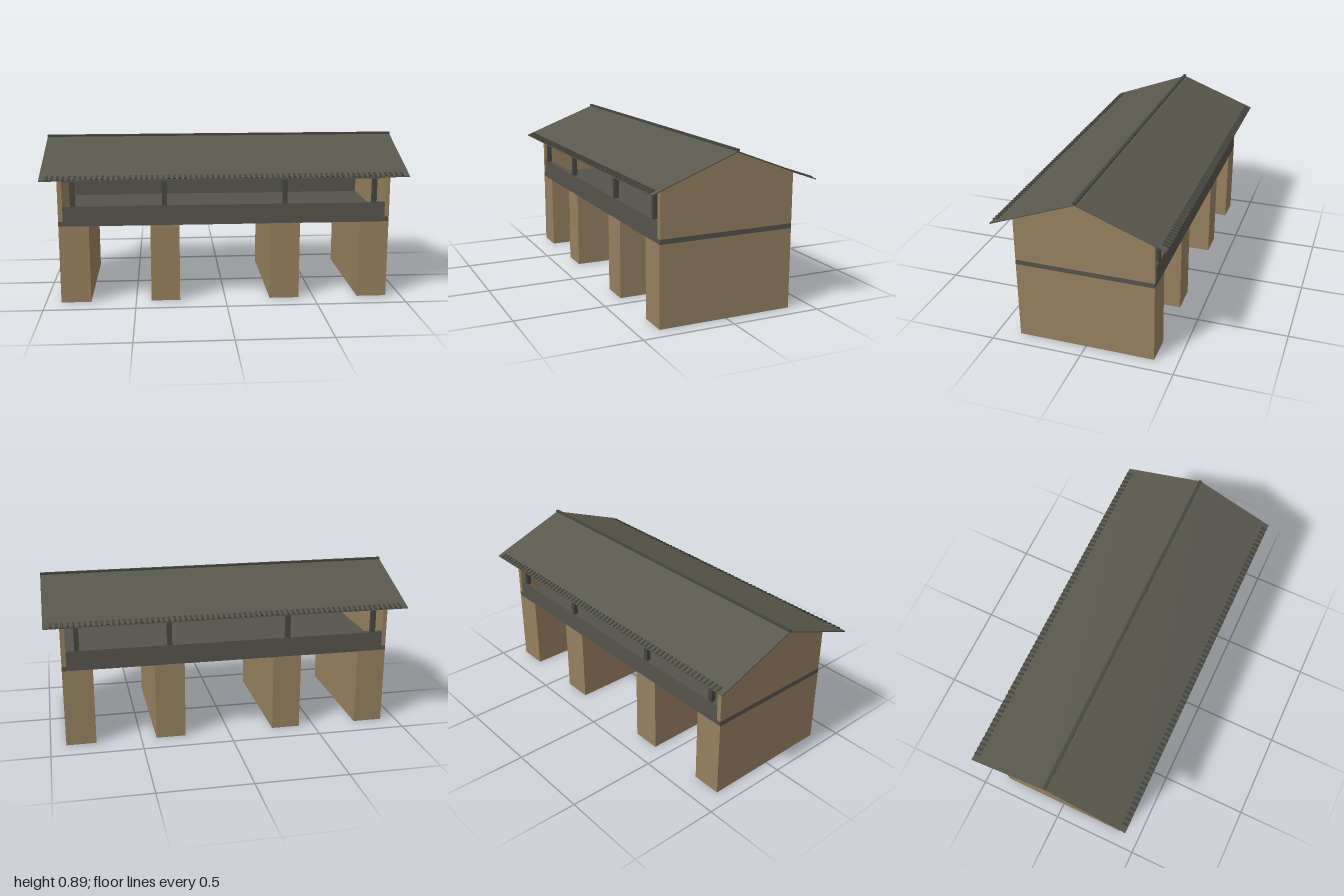
import * as THREE from 'three';

export function createModel() {
  const model = new THREE.Group();
  const mat = (name, color) => new THREE.MeshStandardMaterial({ name, color });
  const stone = mat('sandstone', 0x96805f);
  const timber = mat('grey timber', 0x55534c);
  const roofing = mat('roof slate', 0x59584e);
  const dark = mat('dark timber', 0x45453f);

  const add = (name, geometry, material, parent = model) => {
    const mesh = new THREE.Mesh(geometry, material);
    mesh.name = name;
    parent.add(mesh);
    return mesh;
  };
  // Box given by its limits on each axis
  const box = (name, material, x0, x1, y0, y1, z0, z1, parent) => {
    const mesh = add(name, new THREE.BoxGeometry(x1 - x0, y1 - y0, z1 - z0), material, parent);
    mesh.position.set((x0 + x1) / 2, (y0 + y1) / 2, (z0 + z1) / 2);
    return mesh;
  };

  const D = 0.375;           // half depth of the body
  const EAVE_Z = 0.457, EAVE_Y = 0.70, RIDGE_Y = 0.873;
  const slope = (RIDGE_Y - EAVE_Y) / EAVE_Z;
  const underside = z => RIDGE_Y - slope * z;

  // Supporting piers
  for (const [a, b] of [[-0.915, -0.75], [-0.415, -0.255], [0.25, 0.415], [0.75, 0.915]])
    box('pier', stone, a, b, 0, 0.435, -D, D);

  // Deck, seen as a band round the body
  box('deck', timber, -0.915, 0.915, 0.434, 0.461, -D, D);

  // Gable end walls
  const gable = new THREE.Shape([
    new THREE.Vector2(-D, 0.461), new THREE.Vector2(D, 0.461),
    new THREE.Vector2(D, underside(D)), new THREE.Vector2(0, RIDGE_Y),
    new THREE.Vector2(-D, underside(D)),
  ]);
  for (const x of [-0.915, 0.89]) {
    const wall = add('gableWall',
      new THREE.ExtrudeGeometry(gable, { depth: 0.025, bevelEnabled: false }), stone);
    wall.rotation.y = Math.PI / 2;
    wall.position.x = x;
  }

  // Parapets, posts and eave beams on both long sides
  for (const side of [1, -1]) {
    const span = (a, b) => (side > 0 ? [a, b] : [-b, -a]);
    box('parapet', timber, -0.89, 0.89, 0.461, 0.545, ...span(D - 0.025, D));
    box('eaveBeam', timber, -0.89, 0.89, 0.68, 0.705, ...span(D - 0.025, D));
    for (const x of [-0.835, -0.335, 0.33, 0.83])
      box('post', dark, x - 0.013, x + 0.013, 0.545, 0.68, ...span(D - 0.025, D));
  }

  // Thin folded roof
  const t = 0.006;
  const section = new THREE.Shape([
    new THREE.Vector2(-EAVE_Z, EAVE_Y), new THREE.Vector2(0, RIDGE_Y),
    new THREE.Vector2(EAVE_Z, EAVE_Y), new THREE.Vector2(EAVE_Z, EAVE_Y + t),
    new THREE.Vector2(0, RIDGE_Y + t), new THREE.Vector2(-EAVE_Z, EAVE_Y + t),
  ]);
  const roof = add('roof',
    new THREE.ExtrudeGeometry(section, { depth: 2, bevelEnabled: false }), roofing);
  roof.rotation.y = Math.PI / 2;
  roof.position.x = -1;

  // Ridge cap
  box('ridgeNeck', dark, -1, 1, 0.872, 0.882, -0.005, 0.005);
  box('ridgeCap', dark, -1, 1, 0.881, 0.889, -0.009, 0.009);

  // Small cleats along both eaves
  const cleat = new THREE.BoxGeometry(0.014, 0.006, 0.036);
  const count = 66;
  for (const side of [1, -1]) {
    const row = new THREE.Group();
    row.name = 'eaveCleats';
    for (let i = 0; i < count; i++) {
      const m = add('cleat', cleat, dark, row);
      m.position.set((i - (count - 1) / 2) * 0.0295, underside(0.44) + t + 0.002, side * 0.44);
      m.rotation.x = side * Math.atan(slope);
    }
    model.add(row);
  }
  return model;
}
